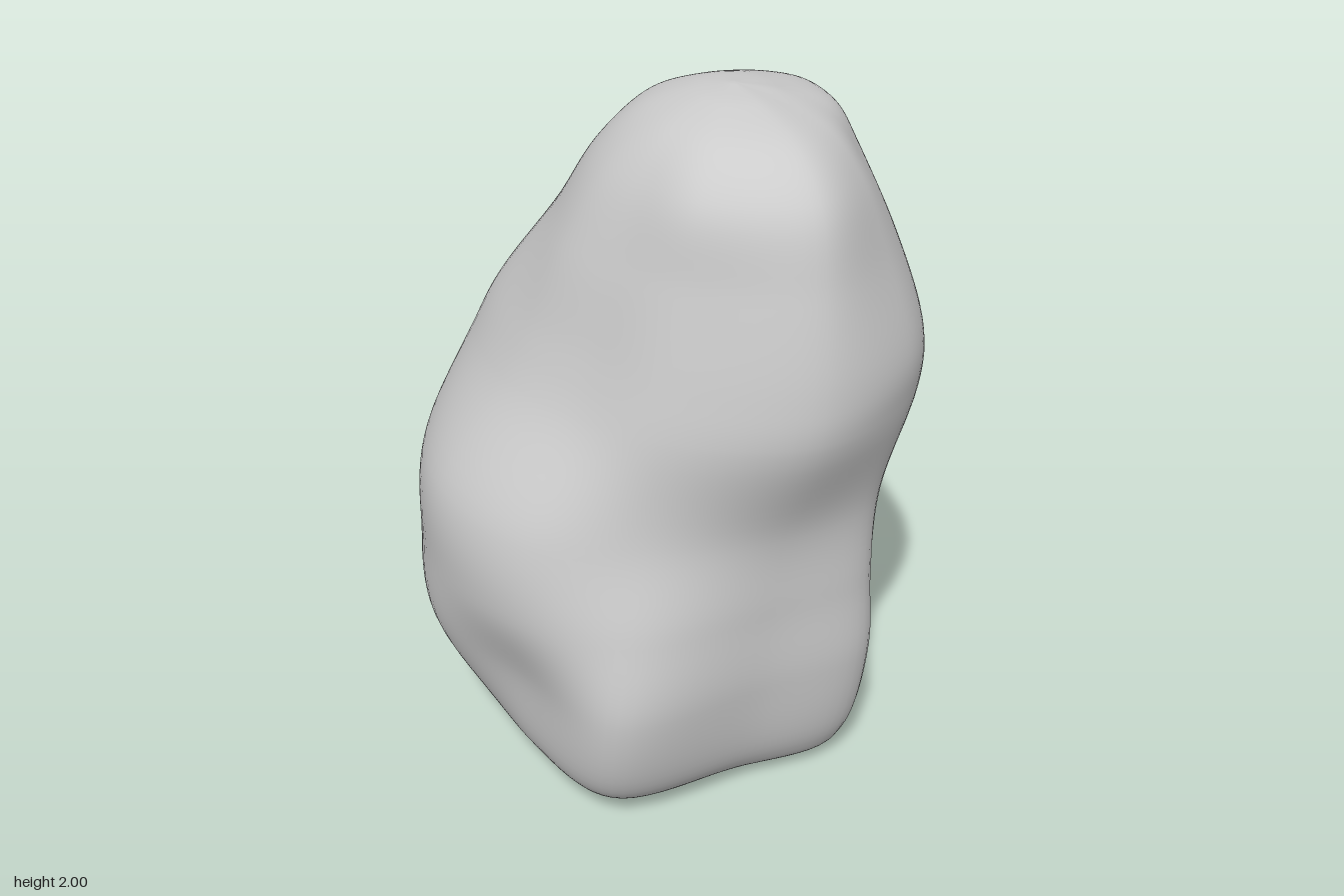
import * as THREE from 'three';

// Directions of the rock's main corners and hollows, degrees from +x towards +z
const ANGLES = [20, 48, 80, 118, 148, 180, 215, 245, 272, 301, 325, 355];

// Cross-sections from base to peak: height, then the radius in each direction
const SECTIONS = [
  [0.02, 0.47, 0.57, 0.46, 0.52, 0.42, 0.36, 0.42, 0.52, 0.42, 0.70, 0.60, 0.49],
  [0.12, 0.51, 0.64, 0.55, 0.65, 0.54, 0.50, 0.57, 0.71, 0.62, 0.85, 0.70, 0.53],
  [0.40, 0.52, 0.66, 0.58, 0.71, 0.61, 0.68, 0.73, 0.81, 0.71, 0.87, 0.71, 0.54],
  [0.65, 0.49, 0.62, 0.56, 0.66, 0.69, 0.72, 0.76, 0.81, 0.73, 0.83, 0.68, 0.51],
  [0.90, 0.53, 0.59, 0.55, 0.58, 0.67, 0.72, 0.76, 0.76, 0.70, 0.74, 0.61, 0.50],
  [1.20, 0.60, 0.62, 0.63, 0.55, 0.52, 0.56, 0.66, 0.72, 0.73, 0.67, 0.57, 0.53],
  [1.35, 0.58, 0.61, 0.62, 0.52, 0.47, 0.50, 0.60, 0.65, 0.67, 0.64, 0.57, 0.53],
  [1.60, 0.47, 0.50, 0.55, 0.46, 0.41, 0.42, 0.45, 0.50, 0.50, 0.52, 0.50, 0.46],
  [1.80, 0.35, 0.39, 0.47, 0.41, 0.34, 0.33, 0.35, 0.37, 0.36, 0.39, 0.42, 0.37],
  [1.91, 0.26, 0.28, 0.34, 0.30, 0.25, 0.23, 0.25, 0.28, 0.27, 0.31, 0.33, 0.29],
  [1.97, 0.12, 0.12, 0.15, 0.14, 0.12, 0.11, 0.12, 0.14, 0.15, 0.15, 0.14, 0.12],
];
const AROUND = 120;
const UP = 100;

// Point on a section; the axis leans, and the base rises towards the back
function sectionPoint(y, radius, degrees) {
  const a = THREE.MathUtils.degToRad(degrees);
  const x = 0.08 * y + radius * Math.cos(a);
  const z = 0.1 * y + radius * Math.sin(a);
  const lift = 0.15 * Math.max(0, -z - 0.1) * Math.max(0, 1 - y / 0.5);
  return new THREE.Vector3(x, y + lift, z);
}

function rockGeometry() {
  // Smooth profile from base to peak in each direction
  const profiles = ANGLES.map((angle, k) => new THREE.CatmullRomCurve3([
    sectionPoint(0, 0, 0),
    ...SECTIONS.map((s) => sectionPoint(s[0], s[k + 1], angle)),
    sectionPoint(1.99, 0, 0),
  ]));

  // Closed smooth rings through the profiles
  const positions = [];
  const indices = [];
  for (let j = 0; j <= UP; j++) {
    const ring = new THREE.CatmullRomCurve3(profiles.map((p) => p.getPoint(j / UP)), true);
    for (let i = 0; i < AROUND; i++) {
      const p = ring.getPoint(i / AROUND);
      positions.push(p.x, p.y, p.z);
      if (j === UP) continue;
      const a = j * AROUND + i;
      const b = j * AROUND + (i + 1) % AROUND;
      if (j < UP - 1) indices.push(a, a + AROUND, b + AROUND);
      if (j > 0) indices.push(a, b + AROUND, b);
    }
  }

  const geometry = new THREE.BufferGeometry();
  geometry.setAttribute('position', new THREE.Float32BufferAttribute(positions, 3));
  geometry.setIndex(indices);

  // Stand on the ground, centred
  geometry.computeBoundingBox();
  const { min, max } = geometry.boundingBox;
  geometry.translate(-(min.x + max.x) / 2, -min.y, -(min.z + max.z) / 2);
  geometry.computeVertexNormals();

  // One shared normal at the base point and the peak
  for (let i = 0; i < AROUND; i++) {
    geometry.attributes.normal.setXYZ(i, 0, -1, 0);
    geometry.attributes.normal.setXYZ(UP * AROUND + i, 0, 1, 0);
  }
  return geometry;
}

export function createModel() {
  const group = new THREE.Group();
  group.name = 'boulder';
  const rock = new THREE.Mesh(
    rockGeometry(),
    new THREE.MeshStandardMaterial({ color: 0xcccccc }),
  );
  rock.name = 'rock';
  group.add(rock);
  return group;
}
